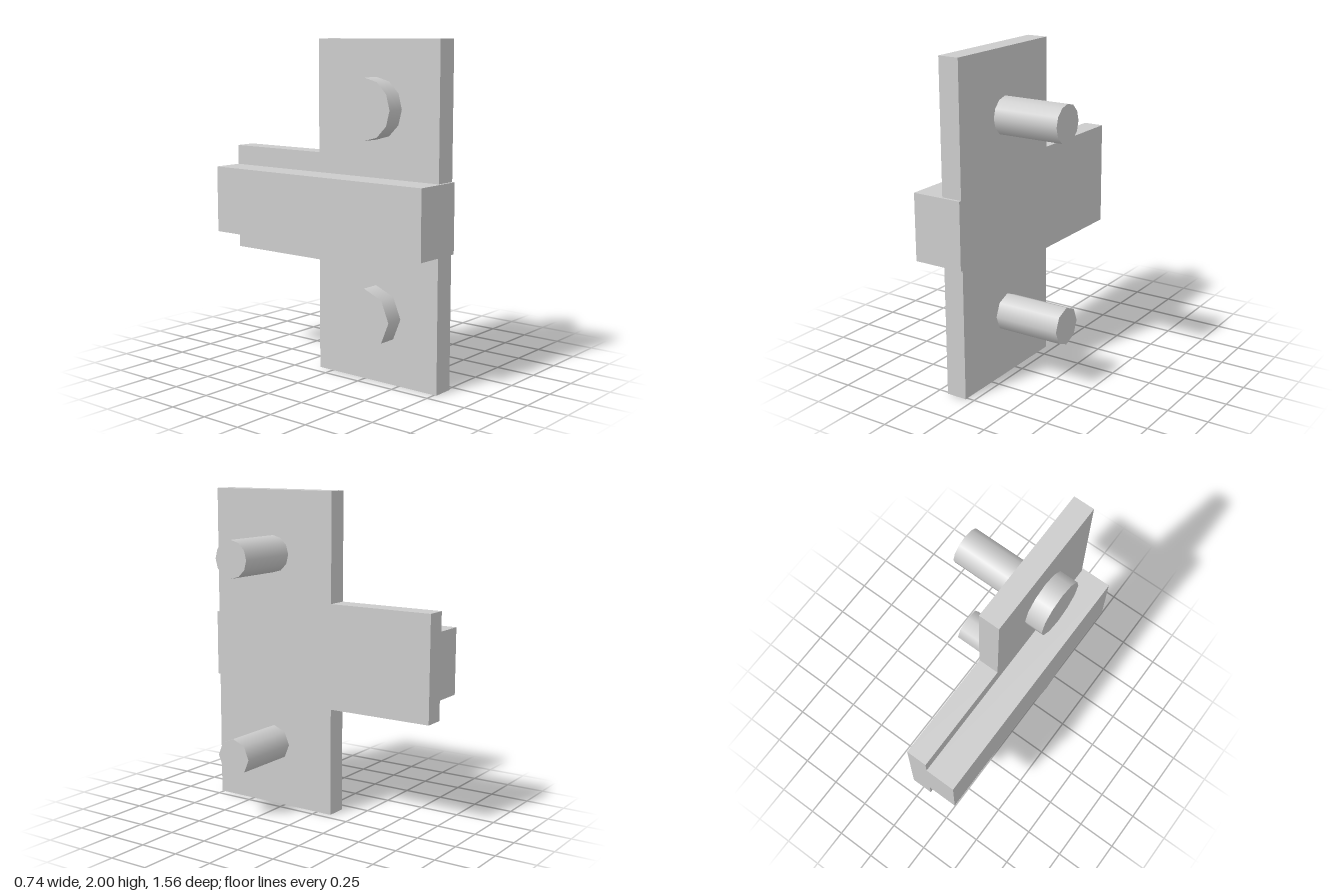
import * as THREE from 'three';

const material = new THREE.MeshStandardMaterial({ color: 0xcccccc });

function add(group, name, geometry, x = 0, y = 0, z = 0) {
  const mesh = new THREE.Mesh(geometry, material);
  mesh.name = name;
  mesh.position.set(x, y, z);
  group.add(mesh);
}

// Box given by its limits on each axis
function addBox(group, name, [x0, x1], [y0, y1], [z0, z1]) {
  add(group, name, new THREE.BoxGeometry(x1 - x0, y1 - y0, z1 - z0),
    (x0 + x1) / 2, (y0 + y1) / 2, (z0 + z1) / 2);
}

// Cylinder lying along x between two limits
function addRod(group, name, radius, x0, x1, y, z, sides) {
  const geometry = new THREE.CylinderGeometry(radius, radius, x1 - x0, sides);
  geometry.rotateZ(Math.PI / 2);
  add(group, name, geometry, (x0 + x1) / 2, y, z);
}

export function createModel() {
  const model = new THREE.Group();
  model.name = 'tBracket';
  const back = -0.18, face = -0.05;

  // T-shaped plate, drawn in (-z, y) and extruded along x
  const outline = [
    [-0.765, 0], [0.102, 0], [0.102, 0.675], [0.782, 0.675],
    [0.782, 1.328], [0.102, 1.328], [0.102, 2], [-0.765, 2],
  ].map(([u, v]) => new THREE.Vector2(u, v));
  const plate = new THREE.ExtrudeGeometry(new THREE.Shape(outline), {
    depth: face - back, bevelEnabled: false,
  });
  plate.rotateY(Math.PI / 2);
  add(model, 'plate', plate, back);

  // Rail across the back, with a thin lip wrapping the front edge of the plate
  addBox(model, 'rail', [-0.368, back], [0.798, 1.208], [-0.782, 0.782]);
  addBox(model, 'railLip', [back, face], [0.798, 1.208], [0.765, 0.782]);

  // Bolts: shaft on one side of the plate, head on the other
  for (const [name, y, sides] of [['upperBolt', 1.607, 12], ['lowerBolt', 0.4, 8]]) {
    const bolt = new THREE.Group();
    bolt.name = name;
    addRod(bolt, 'shaft', 0.115, back, 0.367, y, 0.33, sides);
    addRod(bolt, 'head', 0.178, -0.294, back, y, 0.33, sides);
    model.add(bolt);
  }
  return model;
}
